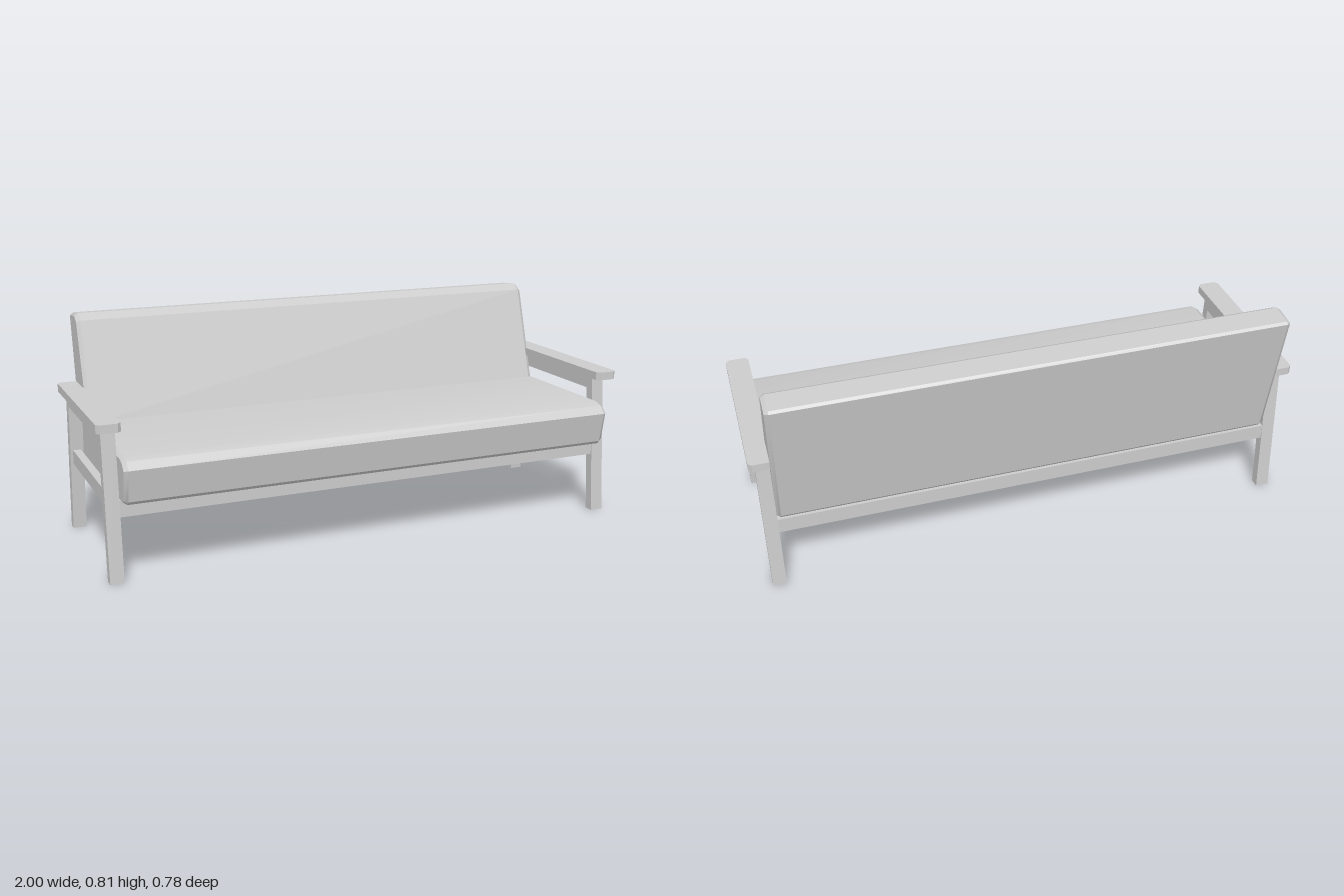
import * as THREE from 'three';
import { toCreasedNormals } from 'three/addons/utils/BufferGeometryUtils.js';

const material = new THREE.MeshStandardMaterial({ color: 0xcccccc });

const shapeOf = (points) => new THREE.Shape(points.map(([a, b]) => new THREE.Vector2(a, b)));

function addMesh(parent, name, geometry) {
  const mesh = new THREE.Mesh(geometry, material);
  mesh.name = name;
  parent.add(mesh);
  return mesh;
}

function addBox(parent, name, min, max) {
  const size = max.map((v, i) => v - min[i]);
  const mesh = addMesh(parent, name, new THREE.BoxGeometry(...size));
  mesh.position.set(...min.map((v, i) => (v + max[i]) / 2));
}

// Extrudes a side profile given as [z, y] points from x0 to x1
function extrudeSide(points, x0, x1, bevel) {
  const t = bevel ? bevel.bevelThickness : 0;
  const geometry = new THREE.ExtrudeGeometry(shapeOf(points.map(([z, y]) => [-z, y])), {
    depth: x1 - x0 - 2 * t, bevelEnabled: !!bevel, ...bevel,
  });
  return geometry.rotateY(Math.PI / 2).translate(x0 + t, 0, 0);
}

// Extrudes a plan outline given as [x, z] points from y0 to y1
function extrudeUp(points, y0, y1) {
  const geometry = new THREE.ExtrudeGeometry(shapeOf(points.map(([x, z]) => [x, -z])), {
    depth: y1 - y0, bevelEnabled: false,
  });
  return geometry.rotateX(-Math.PI / 2).translate(0, y0, 0);
}

export function createModel() {
  const sofa = new THREE.Group();
  sofa.name = 'sofa';

  // Seat and backrest upholstery with a chamfered edge at each end
  const cushionProfile = [
    [0.388, 0.408], [0.365, 0.434], [0.332, 0.445], [-0.13, 0.445], [-0.148, 0.432],
    [-0.26, 0.79], [-0.296, 0.812], [-0.379, 0.802], [-0.388, 0.794],
    [-0.297, 0.295], [-0.284, 0.28], [0.338, 0.28], [0.355, 0.284], [0.366, 0.296],
  ];
  const cushion = extrudeSide(cushionProfile, -0.928, 0.928, {
    bevelThickness: 0.014, bevelSize: 0.01, bevelOffset: -0.01, bevelSegments: 1,
  });
  addMesh(sofa, 'seatAndBackrest', toCreasedNormals(cushion, 0.5));

  // Splayed legs joined by a rail under the armrest
  const legFrame = [
    [0.319, 0], [0.279, 0.525], [-0.279, 0.525], [-0.319, 0], [-0.284, 0],
    [-0.247, 0.48], [0.247, 0.48], [0.284, 0],
  ];
  // Armrest plan with clipped corners
  const c = 0.012, xi = 0.917, xo = 1, zb = -0.321, zf = 0.333;
  const armPlan = [
    [xi + c, zb], [xo - c, zb], [xo, zb + c], [xo, zf - c],
    [xo - c, zf], [xi + c, zf], [xi, zf - c], [xi, zb + c],
  ];

  for (const side of [1, -1]) {
    const label = side > 0 ? 'left' : 'right';
    const arm = new THREE.Group();
    arm.name = label + 'Side';
    const [x0, x1] = side > 0 ? [0.928, 0.977] : [-0.977, -0.928];
    addMesh(arm, label + 'LegFrame', extrudeSide(legFrame, x0, x1));
    addBox(arm, label + 'LowerRail', [x0 + 0.01, 0.257, -0.266], [x1 - 0.01, 0.31, 0.266]);
    addMesh(arm, label + 'Armrest', extrudeUp(armPlan.map(([x, z]) => [side * x, z]), 0.525, 0.555));
    sofa.add(arm);
  }

  // Long rails below the seat
  addBox(sofa, 'frontRail', [-0.93, 0.224, 0.268], [0.93, 0.281, 0.297]);
  addBox(sofa, 'backRail', [-0.93, 0.224, -0.297], [0.93, 0.281, -0.268]);

  return sofa;
}
